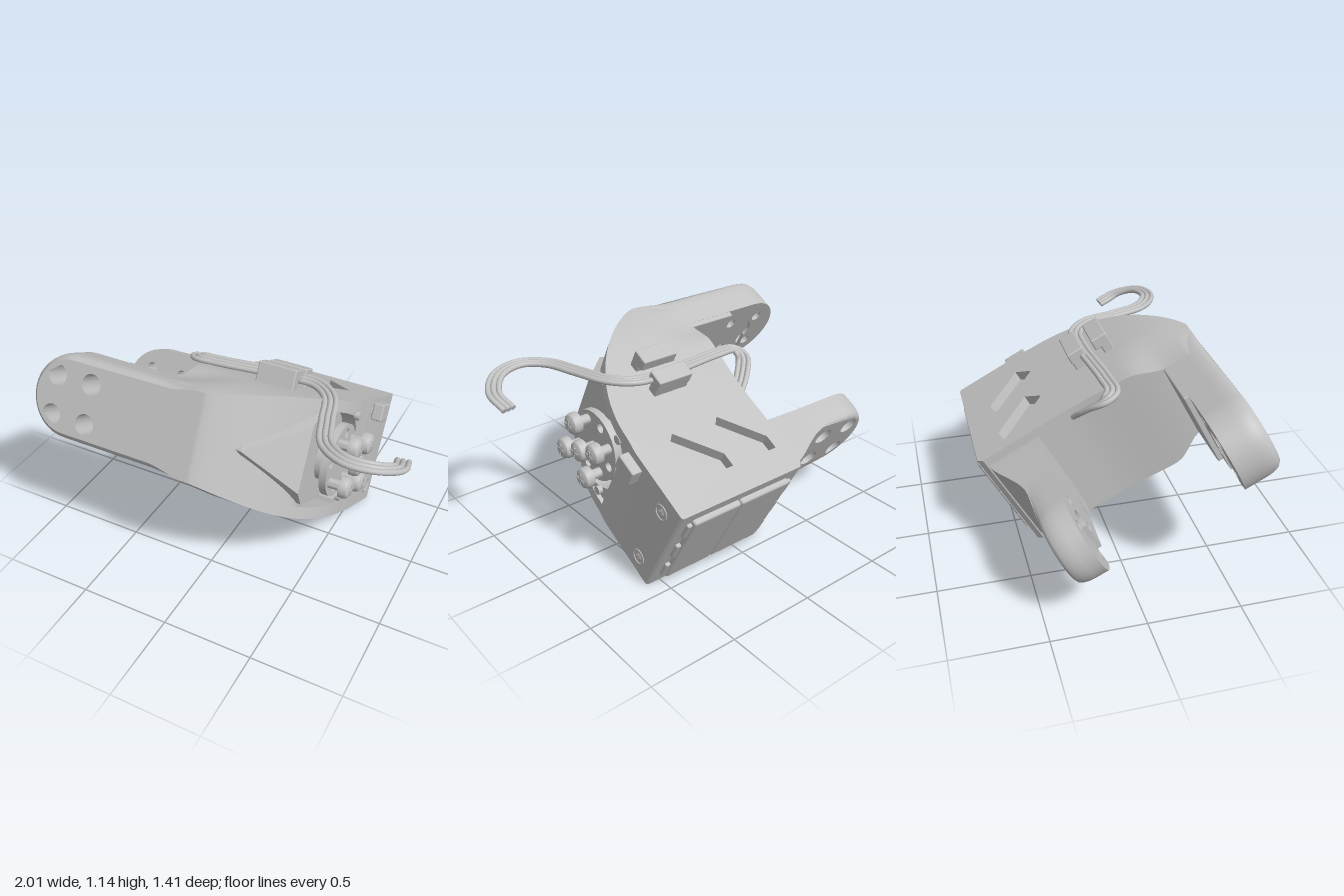
import * as THREE from 'three';
import { toCreasedNormals } from 'three/addons/utils/BufferGeometryUtils.js';
import { RoundedBoxGeometry } from 'three/addons/geometries/RoundedBoxGeometry.js';
import { ConvexGeometry } from 'three/addons/geometries/ConvexGeometry.js';

const grey = new THREE.MeshStandardMaterial({ color: 0xc0c0c0 });
grey.name = 'light grey';

const V2 = (x, y) => new THREE.Vector2(x, y);
const V3 = (x, y, z) => new THREE.Vector3(x, y, z);
const { lerp, smoothstep } = THREE.MathUtils;
const ARM_R = 0.23, ARM_C = 0.355, END_X = -0.77, HOLE_X = -0.748, LEFT = -0.22;

export function createModel() {
  const model = new THREE.Group();
  model.name = 'servoBracket';
  // tilted bracket: local y is the bracket height, local z runs back to front
  const tilt = new THREE.Group();
  tilt.name = 'bracket';
  tilt.rotation.x = -0.489;
  tilt.position.z = -0.4;
  model.add(tilt);

  const add = (name, geo, parent = tilt) => {
    const mesh = new THREE.Mesh(geo, grey);
    mesh.name = name;
    parent.add(mesh);
    return mesh;
  };
  const box = (name, x0, x1, y0, y1, z0, z1, r = 0.008) => {
    const g = new RoundedBoxGeometry(x1 - x0, y1 - y0, z1 - z0, 2, r);
    add(name, g.translate((x0 + x1) / 2, (y0 + y1) / 2, (z0 + z1) / 2));
  };
  const extrude = (shape, depth, steps = 1) =>
    new THREE.ExtrudeGeometry(shape, { depth, steps, bevelEnabled: false, curveSegments: 24 });
  const crease = (g) => toCreasedNormals(g, 0.6);
  // plates lying across z, y and x
  const frontPlate = (name, s, z0, z1) => add(name, crease(extrude(s, z1 - z0).translate(0, 0, z0)));
  const flatPlate = (name, s, y0, y1) =>
    add(name, crease(extrude(s, y1 - y0).rotateX(Math.PI / 2).translate(0, y1, 0)));
  const sidePlate = (name, s, x0, x1) =>
    add(name, crease(extrude(s, x1 - x0).rotateY(-Math.PI / 2).translate(x1, 0, 0)));
  const circleHole = (s, x, y, r) => s.holes.push(new THREE.Path().absarc(x, y, r, 0, Math.PI * 2, true));
  // arm plate whose rim is rounded towards its outer face; the rounding fades out along x
  const roundedPlate = (name, s, z0, z1, outer, fade0, fade1) => {
    const g = extrude(s, z1 - z0, 10).translate(0, 0, z0), p = g.attributes.position;
    for (let i = 0; i < p.count; i++) {
      const x = p.getX(i), y = p.getY(i) - ARM_C, ax = Math.max(x, END_X);
      const d = Math.hypot(x - ax, y);
      if (d < 0.2) continue;
      const q = Math.max(0, 1 - Math.abs(p.getZ(i) - outer) / 0.09);
      const f = 1 - 0.034 * (1 - Math.sqrt(1 - q * q)) * (1 - smoothstep(x, fade0, fade1)) / d;
      p.setXY(i, ax + (x - ax) * f, ARM_C + y * f);
    }
    add(name, crease(g));
  };
  // box whose vertices are moved by a rule taking unit coordinates
  const warped = (name, nx, ny, nz, rule) => {
    const g = new THREE.BoxGeometry(1, 1, 1, nx, ny, nz), p = g.attributes.position;
    for (let i = 0; i < p.count; i++) {
      p.setXYZ(i, ...rule(p.getX(i) + 0.5, p.getY(i) + 0.5, p.getZ(i) + 0.5));
    }
    add(name, crease(g));
  };

  // arms
  const flare = (x) => smoothstep(x, -0.58, -0.2);
  const halfHeight = (x) => lerp(ARM_R, 0.268, flare(x));
  const centre = (x) => lerp(ARM_C, 0.332, flare(x));
  const armShape = (holeR, { recess = false, notch = false, flared = false, xEnd }) => {
    const h = flared ? halfHeight : () => ARM_R, c = flared ? centre : () => ARM_C;
    const s = new THREE.Shape(), xs = [], b = ARM_C - ARM_R;
    for (let i = 0; i <= 10; i++) xs.push(lerp(xEnd, -0.56, i / 10));
    xs.forEach((x, i) => (i ? s.lineTo(x, c(x) + h(x)) : s.moveTo(x, c(x) + h(x))));
    s.absarc(END_X, ARM_C, ARM_R, Math.PI / 2, Math.PI * 1.5 - (recess ? 0.21 : 0), false);
    if (recess) {
      s.absarc(HOLE_X, ARM_C, 0.09, Math.PI + 0.68, -0.68, true);
      s.lineTo(HOLE_X + 0.07, b);
    }
    xs.reverse().forEach((x, i) => {
      if (notch && x > -0.47 && xs[i - 1] <= -0.47) {
        [[-0.44, 0], [-0.44, 0.06], [-0.475, 0.06], [-0.475, 0.11], [-0.365, 0.11], [-0.365, 0.06], [-0.4, 0.06], [-0.4, 0]]
          .forEach(([nx, ny]) => s.lineTo(nx, ny ? b + ny : c(nx) - h(nx)));
      }
      if (!notch || x < -0.47 || x > -0.39) s.lineTo(x, c(x) - h(x));
    });
    for (const i of [-1, 1]) for (const j of [-1, 1]) circleHole(s, HOLE_X + i * 0.105, ARM_C - 0.006 + j * 0.107, holeR);
    return s;
  };
  roundedPlate('frontArmOuter', armShape(0.056, { xEnd: -0.02 }), 1.13, 1.32, 1.32, -0.25, -0.02);
  frontPlate('frontArmInner', armShape(0.032, { xEnd: -0.1, recess: true }), 1.11, 1.13);
  box('frontArmPad', -0.58, -0.15, 0.126, 0.584, 1.08, 1.13);
  frontPlate('backArmInner', armShape(0.032, { xEnd: -0.2, recess: true, notch: true, flared: true }), 0.27, 0.345);
  roundedPlate('backArmOuter', armShape(0.056, { xEnd: -0.2, flared: true }), 0.185, 0.27, 0.185, -0.77, -0.58);
  warped('backArmFlare', 16, 1, 1, (u, v, w) => {
    const x = lerp(-0.585, -0.2, u);
    const outer = lerp(0.185, 0.03, smoothstep(x, -0.6, -0.16));
    return [x, centre(x) + (v * 2 - 1) * halfHeight(x), lerp(outer, 0.2, w)];
  });

  // rear housing with slanted slots in its top and bottom walls
  const housing = (slots) => {
    const s = new THREE.Shape([V2(LEFT, 0.03), V2(-0.195, 0), V2(0.575, 0), V2(0.585, 0.01), V2(0.585, 0.42), V2(0.575, 0.5), V2(LEFT, 0.5)]);
    if (slots) for (const d of [0, 0.295]) {
      s.holes.push(new THREE.Path([V2(d - 0.145, 0.155), V2(d - 0.145, 0.235), V2(d + 0.045, 0.447), V2(d + 0.125, 0.36), V2(d - 0.06, 0.155)]));
    }
    return s;
  };
  flatPlate('housingBottom', housing(true), 0, 0.06);
  flatPlate('housingCore', housing(false), 0.06, 0.59);
  flatPlate('housingTop', housing(true), 0.59, 0.65);

  // curved hull running forward into the front arm
  const hull = (name, f0, f1, maxX) => warped(name, 14, 4, 28, (u, v, w) => {
    const p = Math.sin(w * Math.PI / 2), l = 0.5 + 0.82 * p;
    const left = LEFT - 0.05 * smoothstep(l, 0.5, 1.1);
    const x = lerp(left, Math.min(maxX, 0.575 * Math.pow(Math.max(0, 1 - p * p), 0.8)), u);
    const t = Math.max(0, (l - 0.82) / 0.5);
    const k = lerp(1, smoothstep(x, left - 0.04, 0.08), smoothstep(l, 0.9, 1.11));
    // the front edge follows the rounded rim of the arm
    const inset = 0.034 * smoothstep(l, 1.23, 1.32) * (1 - smoothstep(x, -0.25, -0.02));
    const top = lerp(ARM_C + ARM_R, 0.65, k * (1 - t ** 3)) - inset;
    const bottom = lerp(ARM_C - ARM_R, 0, k * (1 - t * t)) + inset;
    return [x, lerp(bottom, top, lerp(f0, f1, v)), l];
  });
  hull('hullBottomWall', 0, 0.1, 1);
  hull('hullCore', 0.1, 0.9, 0.45);
  hull('hullTopWall', 0.9, 1, 1);

  // servo body and its sloped nose
  sidePlate('servoBody', new THREE.Shape([V2(0.45, 0.07), V2(0.92, 0.09), V2(1, 0.16), V2(1, 0.52), V2(0.9, 0.59), V2(0.45, 0.59)]), 0.1, 0.47);
  add('servoNose', new ConvexGeometry([
    V3(0.47, 0.16, 1), V3(0.47, 0.52, 1), V3(0.1, 0.16, 1), V3(0.1, 0.52, 1),
    V3(0.21, 0.34, 1.235), V3(0.1, 0.34, 1.2)]));

  // curved rim behind the horn
  const HZ = 0.712, HY = 0.329;
  const rim = new THREE.Shape();
  rim.moveTo(0.45, 0.05);
  rim.lineTo(HZ - 0.08, 0.05);
  rim.absarc(HZ, HY, 0.25, Math.PI * 1.4, Math.PI * 0.6, true);
  rim.lineTo(HZ - 0.08, 0.61);
  rim.lineTo(0.45, 0.61);
  sidePlate('hornRim', rim, 0.4, 0.55);
  for (const y of [0.1, 0.56]) {
    add('rimPost', new THREE.CylinderGeometry(0.025, 0.025, 0.03, 16).rotateZ(Math.PI / 2).translate(0.56, y, 0.57));
  }

  // horn disc with screws
  const disc = new THREE.Shape().absarc(HZ, HY, 0.2, 0, Math.PI * 2, false);
  for (let i = 0; i < 4; i++) {
    const a = i * Math.PI / 2;
    circleHole(disc, HZ + 0.15 * Math.cos(a), HY + 0.15 * Math.sin(a), 0.027);
  }
  sidePlate('hornDisc', disc, 0.525, 0.565);
  add('hornHub', new THREE.CylinderGeometry(0.13, 0.13, 0.08, 32).rotateZ(Math.PI / 2).translate(0.49, HY, HZ));
  const screwProfile = [V2(0, 0), V2(0.028, 0), V2(0.028, 0.115), V2(0.058, 0.115), V2(0.06, 0.14), V2(0.053, 0.16), V2(0.038, 0.17), V2(0, 0.173)];
  const screw = (y, z, x, scale = 1) => {
    const g = new THREE.Group();
    g.name = 'screw';
    add('screwBody', crease(new THREE.LatheGeometry(screwProfile, 24)), g);
    for (const a of [0.3, 0.3 + Math.PI / 2]) {
      add('screwCross', new THREE.BoxGeometry(0.06, 0.008, 0.011).rotateY(a).translate(0, 0.172, 0), g);
    }
    g.rotation.z = -Math.PI / 2;
    g.position.set(x, y, z);
    g.scale.setScalar(scale);
    tilt.add(g);
  };
  screw(HY, HZ, 0.515);
  for (const i of [-1, 1]) for (const j of [-1, 1]) screw(HY + i * 0.106, HZ + j * 0.106, 0.515);

  // housing screws set in shallow rings
  for (const y of [0.1, 0.533]) {
    screw(y, 0.125, 0.483, 0.6);
    add('screwRing', new THREE.TorusGeometry(0.042, 0.005, 8, 24).rotateY(Math.PI / 2).translate(0.585, y, 0.125));
  }

  // side clip
  box('sideClip', 0.6, 0.66, 0.54, 0.635, 0.32, 0.45);
  box('sideClipFoot', 0.55, 0.61, 0.56, 0.6, 0.35, 0.42);

  // rear cover with tabs
  box('rearCoverLeft', 0.2, 0.5, 0.06, 0.59, -0.03, 0.02, 0.015);
  box('rearCoverRight', -0.13, 0.198, 0.06, 0.59, -0.03, 0.02, 0.015);
  for (const y of [0.08, 0.27, 0.46]) for (const x of [-0.16, 0.5]) box('coverTab', x, x + 0.03, y, y + 0.11, -0.02, 0.02);

  // cable holders on the top
  for (const [z, d] of [[0.68, 0.03], [0.83, 0]]) {
    box('cableHolderFoot', 0.075, 0.29, 0.62, 0.72, z + 0.035 - d, z + 0.095 - d);
    box('cableHolder', 0.075, 0.29, 0.69, 0.757, z, z + 0.095);
  }

  // three-strand cable
  const path = new THREE.CatmullRomCurve3([
    [-0.22, 0.79, -0.17], [-0.29, 0.86, -0.13], [-0.355, 0.935, -0.06], [-0.33, 0.968, -0.01], [-0.2, 0.975, -0.01],
    [0.2, 0.98, -0.05], [0.36, 0.985, -0.04], [0.47, 0.99, 0.05], [0.54, 0.99, 0.25], [0.61, 0.995, 0.42],
    [0.74, 1, 0.5], [0.88, 0.985, 0.47], [0.96, 0.94, 0.37], [0.945, 0.89, 0.25]].map((p) => V3(...p)));
  for (const offset of [-1, 0, 1]) {
    const pts = [];
    for (let i = 0; i <= 60; i++) {
      const t = path.getTangent(i / 60);
      pts.push(path.getPoint(i / 60).add(V3(-t.z, 0, t.x).setLength(offset * 0.028)));
    }
    add('cableStrand', new THREE.TubeGeometry(new THREE.CatmullRomCurve3(pts), 120, 0.015, 10), model);
    for (const [a, b] of [[pts[0], pts[1]], [pts[60], pts[59]]]) {
      const cap = add('cableEnd', new THREE.CircleGeometry(0.015, 10), model);
      cap.position.copy(a);
      cap.lookAt(a.clone().multiplyScalar(2).sub(b));
    }
  }
  return model;
}
